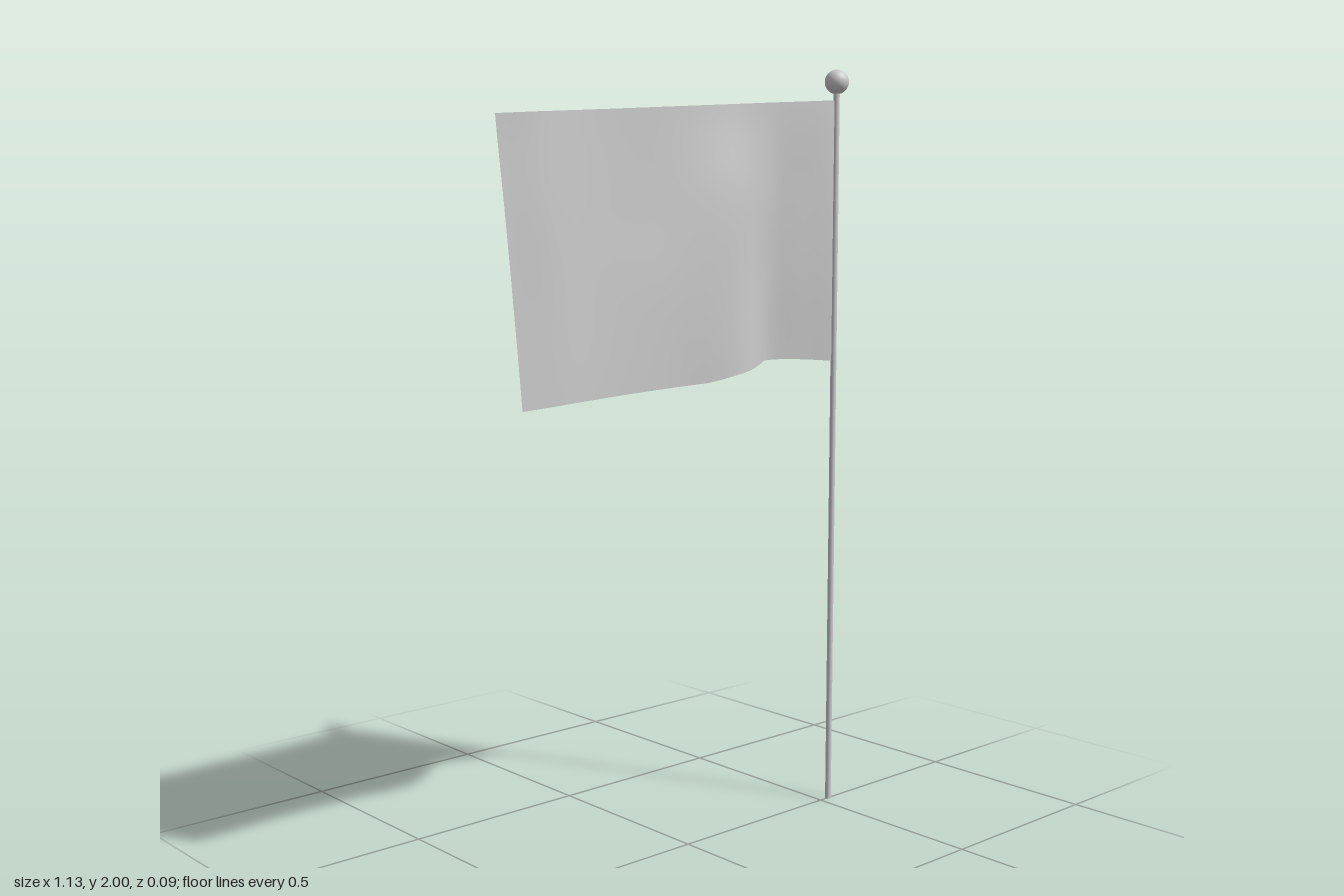
import * as THREE from 'three';

const POLE_X = 0.53;

function part(geometry, name, options = {}) {
  const mesh = new THREE.Mesh(geometry, new THREE.MeshStandardMaterial({ color: 0xcccccc, ...options }));
  mesh.name = name;
  return mesh;
}

// Cloth: ripple depth along four rows (top to bottom), strongest near the lower hoist corner
function clothGeometry() {
  const along = [0, 0.09, 0.19, 0.26, 0.36, 0.55, 0.75, 0.9, 1];
  const rows = [
    [0, 0.002, 0.008, 0.01, 0.002, -0.004, -0.011, 0.003, -0.012],
    [0, -0.012, -0.008, 0.015, 0.027, 0.002, -0.006, 0.007, -0.002],
    [0, -0.022, -0.03, 0.005, 0.037, 0.012, 0, 0.008, 0.005],
    [0, -0.03, -0.048, -0.002, 0.045, 0.015, 0.005, 0.01, 0.01],
  ].map((row) => new THREE.SplineCurve(row.map((z, i) => new THREE.Vector2(along[i], z))));

  const geometry = new THREE.PlaneGeometry(1, 1, 40, 24);
  const pos = geometry.attributes.position;
  for (let i = 0; i < pos.count; i++) {
    const t = 0.5 - pos.getX(i); // 0 at the pole, 1 at the free edge
    const drop = 0.5 - pos.getY(i); // 0 at the top, 1 at the bottom
    const across = rows.map((curve) => curve.getPoint(t));
    const column = new THREE.SplineCurve(across.map((p, k) => new THREE.Vector2(k, p.y)));
    const s = across[0].x;
    const z = column.getPoint(drop).y;
    const top = 1.92 - 0.08 * s;
    const bottom = 1.23 - 0.06 * s + 0.022 * Math.sin(Math.PI * Math.min(1, s * 2.2));
    const length = 1.093 - 0.048 * drop;
    pos.setXYZ(i, POLE_X - 0.005 - length * s, THREE.MathUtils.lerp(top, bottom, drop), z);
  }
  geometry.computeVertexNormals();
  return geometry;
}

export function createModel() {
  const flag = new THREE.Group();
  flag.name = 'flag';

  // Pole
  const pole = part(new THREE.CylinderGeometry(0.008, 0.008, 1.95, 16), 'pole');
  pole.position.set(POLE_X, 0.975, 0);

  // Ball on top of the pole
  const ball = part(new THREE.SphereGeometry(0.032, 24, 16), 'finial');
  ball.position.set(POLE_X, 1.968, 0);

  flag.add(pole, ball, part(clothGeometry(), 'cloth', { side: THREE.DoubleSide }));
  return flag;
}
